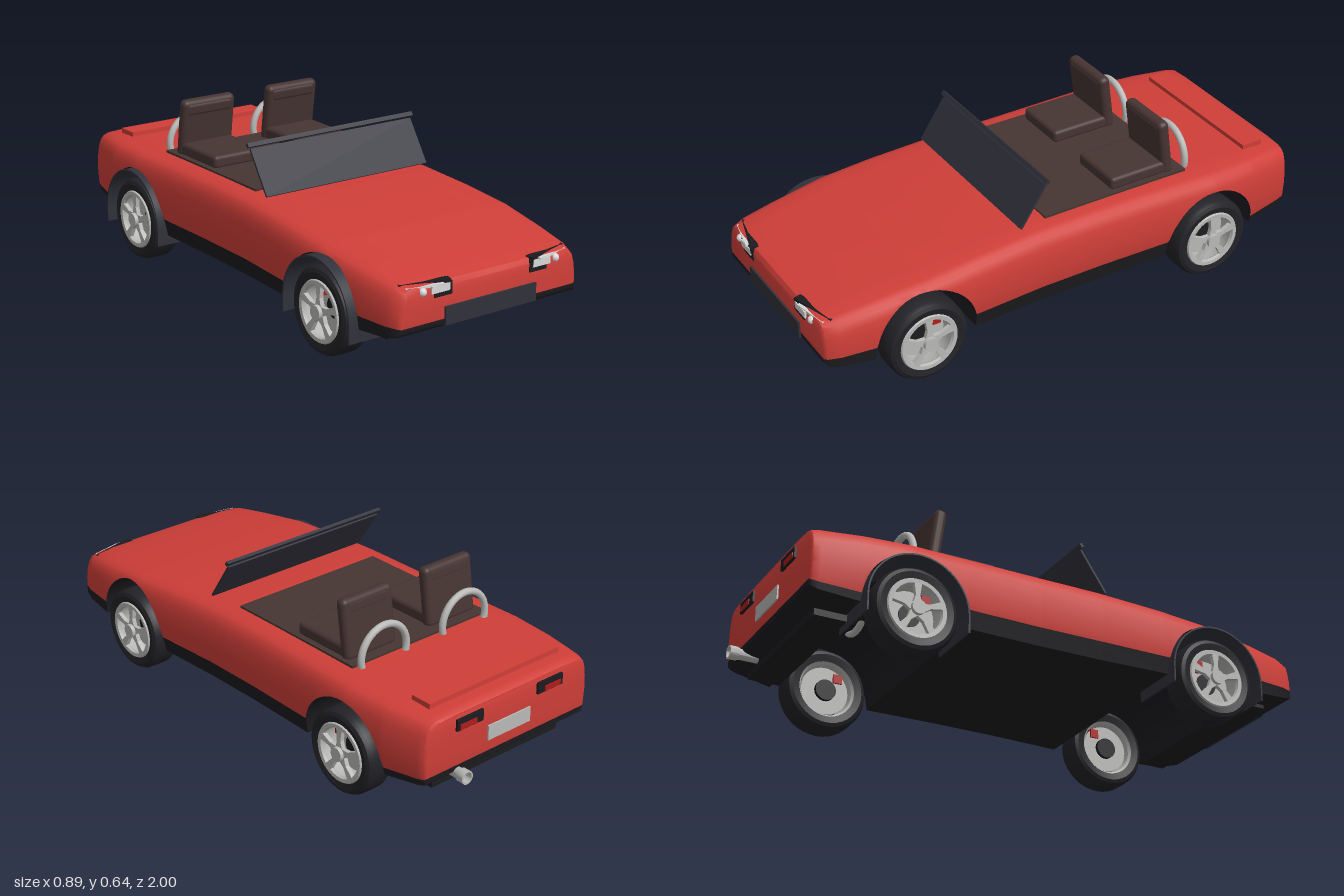
import * as THREE from 'three';
import { toCreasedNormals } from 'three/addons/utils/BufferGeometryUtils.js';
import { RoundedBoxGeometry } from 'three/addons/geometries/RoundedBoxGeometry.js';

const mat = (name, color, side = THREE.FrontSide) => {
  const m = new THREE.MeshStandardMaterial({ color, side });
  m.name = name;
  return m;
};

const AXLES = [0.613, -0.583];
const ARCH_R = 0.193, ARCH_Y = 0.165, WHEEL_Y = 0.157;

// Body keyframes from nose to tail: z, half width, top, bottom, sill line
const KEYS = [
  [0.985, 0.372, 0.312, 0.182, 0.198], [0.975, 0.384, 0.328, 0.17, 0.2], [0.93, 0.398, 0.341, 0.16, 0.2],
  [0.8, 0.414, 0.36, 0.15, 0.2], [0.6, 0.432, 0.386, 0.14, 0.2], [0.4, 0.428, 0.405, 0.14, 0.2],
  [0.15, 0.42, 0.42, 0.14, 0.205], [-0.1, 0.418, 0.422, 0.14, 0.205], [-0.4, 0.424, 0.421, 0.14, 0.205],
  [-0.6, 0.43, 0.419, 0.14, 0.2], [-0.77, 0.418, 0.415, 0.15, 0.18], [-0.92, 0.392, 0.411, 0.17, 0.195],
  [-0.945, 0.385, 0.407, 0.178, 0.2], [-0.952, 0.375, 0.4, 0.185, 0.205],
];
// Cross-section: drop below the top, fraction of half width
const SECTION = [[0, 0], [0, 0.68], [0.004, 0.86], [0.012, 0.92], [0.026, 0.955], [0.055, 0.98], [0.09, 0.994], [0.14, 1], [0.2, 0.99], [0.3, 0.94]];

function lookup(table, x, dir) {
  let i = 0;
  while (i < table.length - 2 && (table[i + 1][0] - x) * dir < 0) i++;
  const a = table[i], b = table[i + 1];
  const t = THREE.MathUtils.clamp((x - a[0]) / (b[0] - a[0] || 1), 0, 1);
  return a.map((v, k) => v + (b[k] - v) * t);
}

// Right half of the body outline at one station
function halfRing(z) {
  let [, w, top, bottom, sill] = lookup(KEYS, z, -1);
  for (const c of AXLES) {
    const d = Math.abs(z - c);
    if (d <= ARCH_R + 1e-6) bottom = Math.max(bottom, ARCH_Y + Math.sqrt(Math.max(0, ARCH_R ** 2 - d * d)));
  }
  sill = Math.max(sill, bottom);
  const at = (y) => new THREE.Vector3(w * lookup(SECTION.slice(1), top - y, 1)[1], y, z);
  const pts = SECTION.slice(1).map(([d, f]) =>
    top - d >= sill ? new THREE.Vector3(w * f, top - d, z) : at(sill));
  return [new THREE.Vector3(0, top, z), ...pts, at(sill), at(bottom)];
}

function buildBody(red, black) {
  const zs = KEYS.map((k) => k[0]);
  for (const c of AXLES) {
    for (let i = 0; i <= 24; i++) zs.push(c + ARCH_R * Math.cos((i / 24) * Math.PI));
    zs.push(c + ARCH_R + 0.001, c - ARCH_R - 0.001);
  }
  zs.sort((a, b) => b - a);
  const rings = zs.map(halfRing);
  const out = { paint: [], under: [] };
  const tri = (list, a, b, c) => {
    const area = b.clone().sub(a).cross(c.clone().sub(a)).length();
    if (area > 1e-9) for (const p of [a, b, c]) list.push(p.x, p.y, p.z);
  };
  const quad = (list, a, b, c, d) => { tri(list, a, b, c); tri(list, a, c, d); };
  const mir = (p) => new THREE.Vector3(-p.x, p.y, p.z);
  const n = rings[0].length - 1;
  const listFor = (i) => (i === n - 1 ? out.under : out.paint);
  for (let k = 0; k < rings.length - 1; k++) {
    const A = rings[k], B = rings[k + 1];
    for (let i = 0; i < n; i++) {
      quad(listFor(i), A[i], A[i + 1], B[i + 1], B[i]);
      quad(listFor(i), mir(B[i]), mir(B[i + 1]), mir(A[i + 1]), mir(A[i]));
    }
    quad(out.under, A[n], mir(A[n]), mir(B[n]), B[n]);
  }
  // Nose and tail faces
  const F = rings[0], R = rings[rings.length - 1];
  for (let i = 0; i < n; i++) {
    quad(listFor(i), mir(F[i]), mir(F[i + 1]), F[i + 1], F[i]);
    quad(listFor(i), R[i], R[i + 1], mir(R[i + 1]), mir(R[i]));
  }
  const make = (name, arr, m) => {
    const g = new THREE.BufferGeometry();
    g.setAttribute('position', new THREE.Float32BufferAttribute(arr, 3));
    const mesh = new THREE.Mesh(toCreasedNormals(g, 0.7), m);
    mesh.name = name;
    return mesh;
  };
  return [make('bodyPaint', out.paint, red), make('sillsAndUnderbody', out.under, black)];
}

export function createModel() {
  const root = new THREE.Group();
  root.name = 'roadster';
  const red = mat('red paint', 0xcf3e38);
  const black = mat('black trim', 0x1c1c20);
  const tyreMat = mat('tyre rubber', 0x222227);
  const dark = mat('dark glass', 0x30313a);
  const brown = mat('brown leather', 0x463432);
  const metal = mat('light metal', 0xb9b9b7, THREE.DoubleSide);
  const lensMat = mat('lamp white', 0xd8d8d8);
  const lampRed = mat('lamp red', 0xb01c1c);

  const add = (name, geo, m, x = 0, y = 0, z = 0, parent = root) => {
    const mesh = new THREE.Mesh(geo, m);
    mesh.name = name;
    mesh.position.set(x, y, z);
    parent.add(mesh);
    return mesh;
  };
  const box = (name, m, w, h, d, x, y, z, parent) => add(name, new THREE.BoxGeometry(w, h, d), m, x, y, z, parent);
  const lathe = (pts) => toCreasedNormals(new THREE.LatheGeometry(pts.map((p) => new THREE.Vector2(...p)), 40).rotateZ(-Math.PI / 2), 0.6);
  const disc = (r, w) => new THREE.CylinderGeometry(r, r, w, 32).rotateZ(-Math.PI / 2);

  root.add(...buildBody(red, black));

  // Cabin floor, boot lid lip, front and rear lips
  box('cabinFloor', brown, 0.64, 0.01, 0.605, 0, 0.422, -0.222);
  box('bootSpoiler', red, 0.61, 0.03, 0.085, 0, 0.415, -0.842);
  box('frontLip', black, 0.69, 0.014, 0.1, 0, 0.131, 0.83);
  box('rearLip', black, 0.6, 0.024, 0.12, 0, 0.129, -0.84);
  box('frontPlate', dark, 0.39, 0.065, 0.012, 0, 0.208, 0.986);
  box('rearPlate', metal, 0.2, 0.055, 0.008, 0, 0.275, -0.954);

  // Windscreen and its top rail
  const glass = box('windscreen', dark, 0.71, 0.18, 0.008, 0, 0.51, 0.15);
  glass.rotation.x = -0.59;
  const rail = box('windscreenRail', dark, 0.73, 0.016, 0.012, 0, 0.599, 0.098);
  rail.rotation.x = -0.59;

  // Wheel geometry, outward along +x
  const tyreGeo = lathe([[0.108, -0.05], [0.135, -0.056], [0.148, -0.05], [0.156, -0.035], [0.157, 0],
    [0.156, 0.035], [0.148, 0.05], [0.135, 0.056], [0.108, 0.05]]);
  const rimGeo = lathe([[0.108, -0.05], [0.1, -0.04], [0.1, 0.03], [0.09, 0.046], [0.094, 0.056], [0.108, 0.057], [0.112, 0.05]]);
  const spoke = new THREE.Shape([[-0.02, 0.008], [-0.008, 0.05], [-0.015, 0.1], [0.015, 0.1], [0.008, 0.05], [0.02, 0.008]]
    .map((p) => new THREE.Vector2(...p)));
  const spokeGeo = new THREE.ExtrudeGeometry(spoke, { depth: 0.016, bevelEnabled: false }).rotateY(Math.PI / 2).translate(0.04, 0, 0);

  for (const [a, z] of AXLES.entries()) {
    for (const s of [1, -1]) {
      const wheel = new THREE.Group();
      wheel.name = (a ? 'rear' : 'front') + (s > 0 ? 'Left' : 'Right') + 'Wheel';
      wheel.position.set(s * 0.376, WHEEL_Y, z);
      if (s < 0) wheel.rotation.y = Math.PI;
      add('tyre', tyreGeo, tyreMat, 0, 0, 0, wheel);
      add('rim', rimGeo, metal, 0, 0, 0, wheel);
      for (let i = 0; i < 5; i++) add('spoke', spokeGeo, metal, 0, 0, 0, wheel).rotation.x = (i / 5) * Math.PI * 2;
      add('hubCap', disc(0.026, 0.03), metal, 0.055, 0, 0, wheel);
      add('brakeDisc', disc(0.092, 0.012), metal, -0.02, 0, 0, wheel);
      add('axleHub', disc(0.04, 0.03), black, -0.026, 0, 0, wheel);
      const inward = (a ? 1 : -1) * s;
      box('brakeCaliper', lampRed, 0.05, 0.034, 0.034, -0.008, 0.055, inward * 0.048, wheel);
      root.add(wheel);
    }

    // Wheel-arch liner on one side
    const r = 0.19, t = 0.006, low = -0.06;
    const u = new THREE.Shape();
    u.moveTo(r, low);
    u.lineTo(r, 0);
    u.absarc(0, 0, r, 0, Math.PI, false);
    u.lineTo(-r, low);
    u.lineTo(-r + t, low);
    u.lineTo(-r + t, 0);
    u.absarc(0, 0, r - t, Math.PI, 0, true);
    u.lineTo(r - t, low);
    const liner = new THREE.ExtrudeGeometry(u, { depth: 0.225, bevelEnabled: false, curveSegments: 24 }).rotateY(Math.PI / 2);
    add('archLiner', toCreasedNormals(liner, 0.5), dark, -0.445, 0.163, z);
  }

  for (const s of [1, -1]) {
    // Seat and roll hoop
    add('seatCushion', new RoundedBoxGeometry(0.22, 0.05, 0.26, 3, 0.015), brown, s * 0.19, 0.446, -0.345);
    const back = add('seatBack', new RoundedBoxGeometry(0.228, 0.225, 0.046, 3, 0.02), brown, s * 0.19, 0.526, -0.448);
    back.rotation.x = 0.14;
    add('headrestPad', new RoundedBoxGeometry(0.2, 0.05, 0.05, 3, 0.015), brown, s * 0.19, 0.602, -0.436).rotation.x = 0.14;
    add('rollHoop', new THREE.TorusGeometry(0.104, 0.013, 12, 40), metal, s * 0.19, 0.443, -0.539);

    // Headlamp: dark housing, white lens, round lamp
    const housing = box('headlampHousing', black, 0.185, 0.028, 0.03, s * 0.26, 0.319, 0.953);
    housing.rotation.y = s * 0.27;
    box('headlampPocket', black, 0.075, 0.045, 0.006, s * 0.204, 0.302, 0.985);
    box('headlampLens', lensMat, 0.075, 0.026, 0.012, s * 0.217, 0.309, 0.986);
    box('headlampStrip', lensMat, 0.14, 0.008, 0.02, s * 0.272, 0.322, 0.972).rotation.y = s * 0.2;
    add('roundLamp', new THREE.SphereGeometry(0.015, 16, 12), lensMat, s * 0.285, 0.307, 0.98);

    // Tail lamp
    box('tailLampHousing', black, 0.12, 0.042, 0.016, s * 0.19, 0.36, -0.953);
    box('tailLampLens', lampRed, 0.075, 0.02, 0.008, s * 0.2, 0.352, -0.96);
  }

  // Exhaust: open pipe with a dark bore
  const pipe = lathe([[0.019, 0], [0.019, 0.11], [0.025, 0.11], [0.025, 0.08], [0.02, 0.07], [0.02, 0]]);
  add('exhaustPipe', pipe, metal, 0.235, 0.176, -0.89).rotation.y = Math.PI / 2;
  add('exhaustBore', new THREE.CircleGeometry(0.0195, 24), black, 0.235, 0.176, -0.965).rotation.y = Math.PI;

  return root;
}
